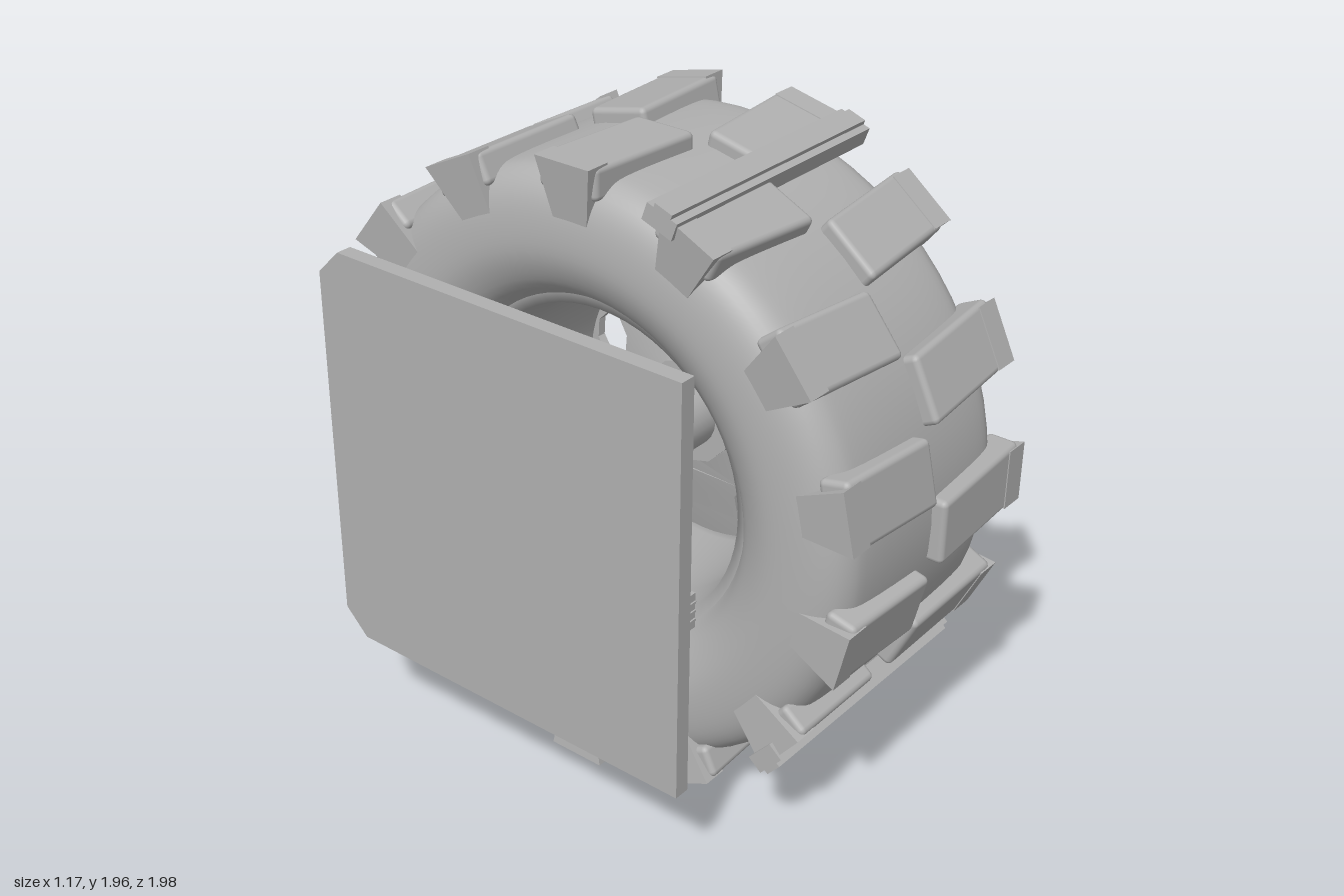
import * as THREE from 'three';
import { RoundedBoxGeometry } from 'three/addons/geometries/RoundedBoxGeometry.js';

const grey = new THREE.MeshStandardMaterial({ color: 0xb0b0b0, side: THREE.DoubleSide });
const MID = 0.145; // middle of the tyre along its axle

function add(parent, name, geometry, x = 0, y = 0, z = 0) {
  const mesh = new THREE.Mesh(geometry, grey);
  mesh.name = name;
  mesh.position.set(x, y, z);
  parent.add(mesh);
  return mesh;
}

// Cylinder lying along x from x0 to x1; facets stay flat when asked
function barrel(radius, x0, x1, sides, faceted = false) {
  let g = new THREE.CylinderGeometry(radius, radius, x1 - x0, sides);
  g.rotateZ(-Math.PI / 2).translate((x0 + x1) / 2, 0, 0);
  if (faceted) {
    g = g.toNonIndexed();
    g.computeVertexNormals();
  }
  return g;
}

// Profile of [x, radius] points spun about the axle
function spin(profile, smooth = 0, sides = 64) {
  let pts = profile.map(([x, r]) => new THREE.Vector2(r, x));
  if (smooth) pts = new THREE.SplineCurve(pts).getPoints(smooth);
  return new THREE.LatheGeometry(pts, sides).rotateZ(-Math.PI / 2);
}

function reshape(g, rule) {
  const p = g.attributes.position;
  const v = new THREE.Vector3();
  for (let i = 0; i < p.count; i++) {
    v.fromBufferAttribute(p, i);
    rule(v);
    p.setXYZ(i, v.x, v.y, v.z);
  }
  return g;
}

// Group turned round the axle, so local +z points outward at this angle
function spoke(parent, name, angle) {
  const g = new THREE.Group();
  g.name = name;
  g.rotation.x = -angle;
  parent.add(g);
  return g;
}

// Conical wheel face with four octagonal holes
function wheelFace() {
  const inner = 0.15, outer = 0.465;
  const shape = new THREE.Shape().absarc(0, 0, outer, 0, Math.PI * 2);
  shape.holes.push(new THREE.Path().absarc(0, 0, inner, 0, Math.PI * 2, true));
  for (let k = 1; k < 5; k++) {
    const a = Math.PI / 2 + k * Math.PI * 0.4;
    const hole = [];
    for (let j = 0; j < 8; j++) {
      const b = -j * Math.PI / 4 + Math.PI / 8;
      hole.push(new THREE.Vector2(0.375 * Math.cos(a) + 0.077 * Math.cos(b), 0.375 * Math.sin(a) + 0.077 * Math.sin(b)));
    }
    shape.holes.push(new THREE.Path(hole));
  }
  const g = new THREE.ExtrudeGeometry(shape, { depth: 0.03, bevelEnabled: false, curveSegments: 32 });
  const n = g.attributes.normal, p = g.attributes.position;
  const slope = 0.27;
  for (let i = 0; i < p.count; i++) {
    const r = Math.hypot(p.getX(i), p.getY(i));
    const s = Math.sign(Math.round(n.getZ(i)));
    if (s !== 0) {
      const v = new THREE.Vector3(-slope * p.getX(i) / r, -slope * p.getY(i) / r, 1).normalize().multiplyScalar(s);
      n.setXYZ(i, v.x, v.y, v.z);
    }
    p.setZ(i, p.getZ(i) + 0.27 + slope * (r - inner));
  }
  return g.rotateY(Math.PI / 2);
}

function buildTyre(wheel) {
  const half = [[0.30, 0.53], [0.37, 0.58], [0.415, 0.67], [0.42, 0.77], [0.40, 0.86], [0.35, 0.915], [0.26, 0.932]];
  const profile = [
    ...half.map(([x, r]) => [MID - x, r]),
    [MID, 0.935],
    ...half.map(([x, r]) => [MID + x, r]).reverse(),
  ];
  add(wheel, 'tyre', spin(profile, 56, 72));

  // Chevron tread: two staggered rows of slanted blocks, each with a sidewall lug
  for (const side of [1, -1]) {
    const block = reshape(new RoundedBoxGeometry(0.39, 0.205, 0.1, 2, 0.018), (v) => { v.y += side * 0.08 * v.x; });
    const lug = reshape(new THREE.BoxGeometry(0.08, 1, 0.2), (v) => {
      const t = (v.z + 0.1) / 0.2;
      v.y = v.y * (0.11 + 0.08 * t) + 0.01 * t;
      v.x += side * 0.025 * t;
    });
    lug.computeVertexNormals();
    for (let k = 0; k < 14; k++) {
      const s = spoke(wheel, 'tread', (k + (side > 0 ? 0 : 0.5)) * Math.PI / 7);
      add(s, 'treadBlock', block, MID + side * 0.215, 0, 0.927);
      add(s, 'sidewallLug', lug, MID + side * 0.372, 0, 0.88);
    }
  }

  // Three long cleats across the whole tread
  for (const degrees of [70, 189, 319]) {
    const s = spoke(wheel, 'cleat', degrees * Math.PI / 180);
    add(s, 'cleatBase', new THREE.BoxGeometry(0.885, 0.105, 0.055), 0.1425, 0, 0.965);
    add(s, 'cleatRidge', new THREE.BoxGeometry(0.885, 0.06, 0.014), 0.1425, 0, 0.999);
  }
}

function buildRim(wheel) {
  add(wheel, 'rimBarrel', spin([[-0.16, 0.535], [-0.15, 0.50], [0.0, 0.48], [0.35, 0.48], [0.44, 0.51], [0.455, 0.535]]));
  add(wheel, 'rimLip', spin([[0.45, 0.532], [0.44, 0.515], [0.41, 0.49], [0.384, 0.463]], 12));
  add(wheel, 'wheelFace', wheelFace());

  // Rounded block above the hub
  const block = reshape(new RoundedBoxGeometry(0.12, 0.155, 0.25, 3, 0.025), (v) => {
    v.z *= 1 + 0.3 * v.y;
    v.x += 0.2 * v.y;
  });
  add(wheel, 'faceBlock', block, 0.305, 0.325, -0.02);

  // Hub, cap and bolts
  add(wheel, 'hub', barrel(0.17, 0.26, 0.39, 12, true));
  add(wheel, 'hubCap', barrel(0.055, 0.38, 0.46, 8, true));
  for (let k = 0; k < 5; k++) {
    const s = spoke(wheel, 'hubBolt', Math.PI / 2 + k * Math.PI * 0.4);
    add(s, 'boltHead', barrel(0.024, 0.38, 0.43, 6, true), 0, 0, 0.118);
  }
}

function buildMount(root) {
  // Mounting plate with two clipped rear corners
  const c = 0.08, h = 0.65;
  const plate = new THREE.Shape([
    [-h, -h], [h - c, -h], [h, -h + c], [h, h - c], [h - c, h], [-h, h],
  ].map(([a, b]) => new THREE.Vector2(a, b)));
  const g = new THREE.ExtrudeGeometry(plate, { depth: 0.05, bevelEnabled: false }).rotateY(Math.PI / 2);
  add(root, 'mountingPlate', g, -0.59, 1.0, 0);
  for (const y of [0.45, 1.54]) {
    for (const z of [-0.55, 0.55]) add(root, 'plateBolt', barrel(0.034, -0.545, -0.515, 6, true), 0, y, z);
  }

  // Axle, flange and carrier
  add(root, 'flange', barrel(0.41, -0.545, -0.515, 40), 0, 0.98, 0);
  add(root, 'axle', barrel(0.112, -0.54, 0.28, 24), 0, 0.99, 0.01);
  add(root, 'carrierBlock', new THREE.BoxGeometry(0.28, 0.17, 0.4), -0.38, 1.185, 0);
  add(root, 'lowerBeam', new THREE.BoxGeometry(0.25, 0.12, 0.8), -0.315, 0.66, 0);
  for (const y of [0.63, 0.66, 0.69]) add(root, 'beamRib', new THREE.BoxGeometry(0.25, 0.008, 0.81), -0.317, y, 0);

  // V-shaped skirt under the axle
  const skirt = new THREE.Shape([[-0.52, 0.9], [-0.52, 0.84], [-0.4, 0.77], [-0.28, 0.84], [-0.28, 0.9]]
    .map(([a, b]) => new THREE.Vector2(a, b)));
  add(root, 'skirt', new THREE.ExtrudeGeometry(skirt, { depth: 0.3, bevelEnabled: false }), 0, 0, -0.15);

  // Braces and the thin guide rod
  const braces = [[1.46, 0.39, 1.08, 0.05], [0.62, -0.4, 0.88, -0.05]];
  for (const [y0, z0, y1, z1] of braces) {
    const path = new THREE.LineCurve3(new THREE.Vector3(-0.53, y0, z0), new THREE.Vector3(-0.2, y1, z1));
    add(root, 'brace', new THREE.TubeGeometry(path, 1, 0.032, 10));
  }
  add(root, 'guideRod', barrel(0.015, -0.54, -0.2, 10), 0, 1.0, -0.55);
}

export function createModel() {
  const root = new THREE.Group();
  root.name = 'wheelAssembly';
  const wheel = new THREE.Group();
  wheel.name = 'wheel';
  wheel.position.set(0, 0.99, 0.013);
  root.add(wheel);
  buildTyre(wheel);
  buildRim(wheel);
  buildMount(root);
  return root;
}
